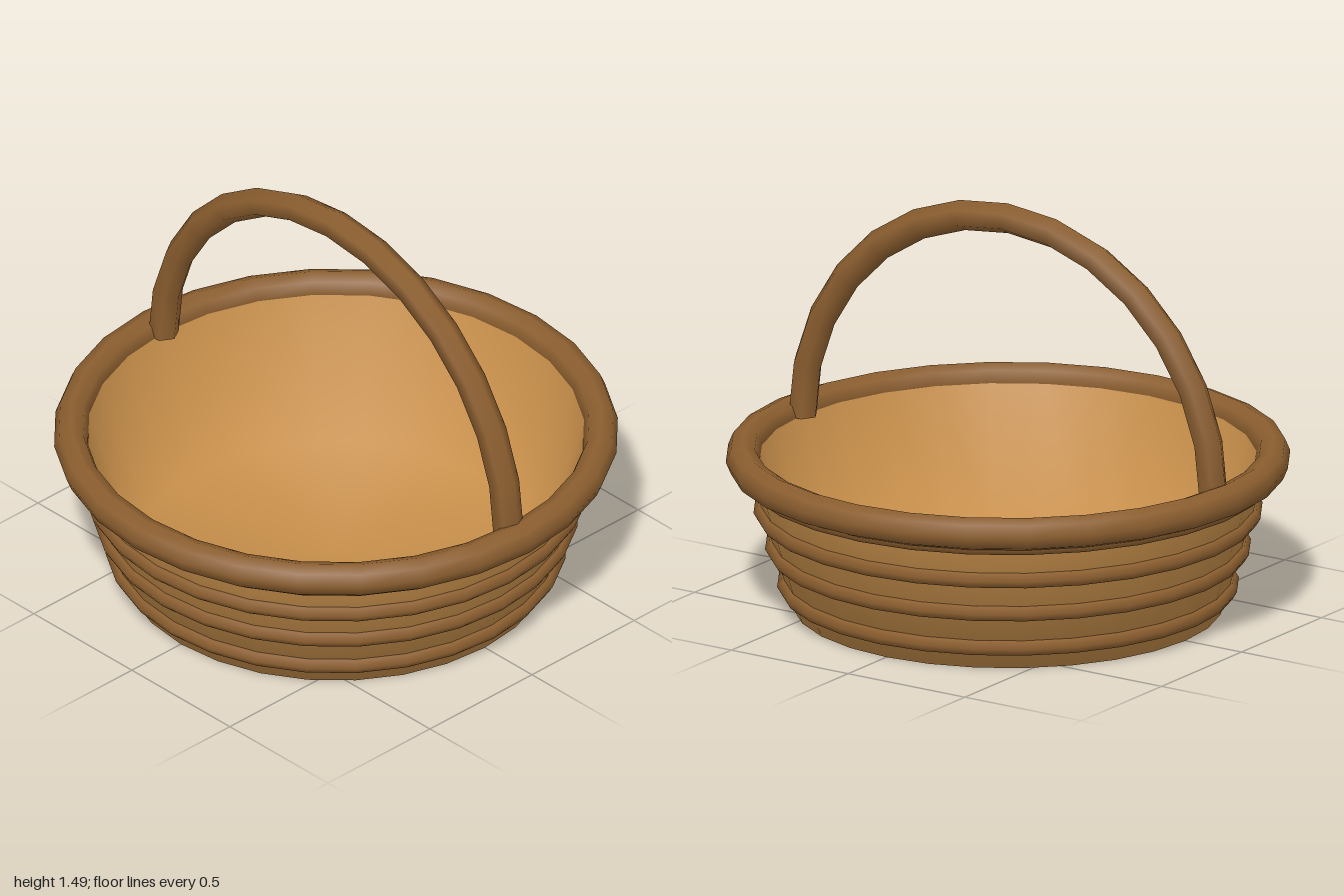
import * as THREE from 'three';

const SEGMENTS = 28;

export function createModel() {
  const basket = new THREE.Group();
  basket.name = 'basket';

  const wicker = new THREE.MeshStandardMaterial({ color: 0xc68e4a });
  wicker.name = 'light wicker';
  const cane = new THREE.MeshStandardMaterial({ color: 0x8b5e2f });
  cane.name = 'dark cane';

  const add = (name, geometry, material, y = 0) => {
    const mesh = new THREE.Mesh(geometry, material);
    mesh.name = name;
    mesh.position.y = y;
    basket.add(mesh);
    return mesh;
  };

  // Horizontal ring lying around the bowl
  const addRing = (name, radius, tube, sides, y) => {
    const geometry = new THREE.TorusGeometry(radius, tube, sides, SEGMENTS);
    geometry.rotateX(-Math.PI / 2);
    return add(name, geometry, cane, y);
  };

  // Bowl: outer floor, flared wall, lip, inner wall, inner floor
  const profile = [
    [0, 0], [0.76, 0], [0.925, 0.55], [0.88, 0.55], [0.71, 0.04], [0, 0.04],
  ].map(([x, y]) => new THREE.Vector2(x, y));
  add('bowl', new THREE.LatheGeometry(profile, SEGMENTS), wicker);

  // Woven bands that follow the flare of the wall
  [0.085, 0.225, 0.36, 0.495].forEach((y, i) => {
    addRing(`band${i + 1}`, 0.762 + y * 0.305, 0.03, 6, y);
  });

  // Thick rim
  addRing('rim', 0.94, 0.06, 8, 0.55);

  // Arched handle with closed ends
  const handleRadius = 0.88, handleTube = 0.055;
  add('handle', new THREE.TorusGeometry(handleRadius, handleTube, 6, 14, Math.PI), cane, 0.55);
  for (const side of [-1, 1]) {
    const cap = new THREE.CircleGeometry(handleTube, 6);
    cap.rotateX(Math.PI / 2);
    const name = side > 0 ? 'leftHandleEnd' : 'rightHandleEnd';
    add(name, cap, cane, 0.55).position.x = side * handleRadius;
  }

  return basket;
}
